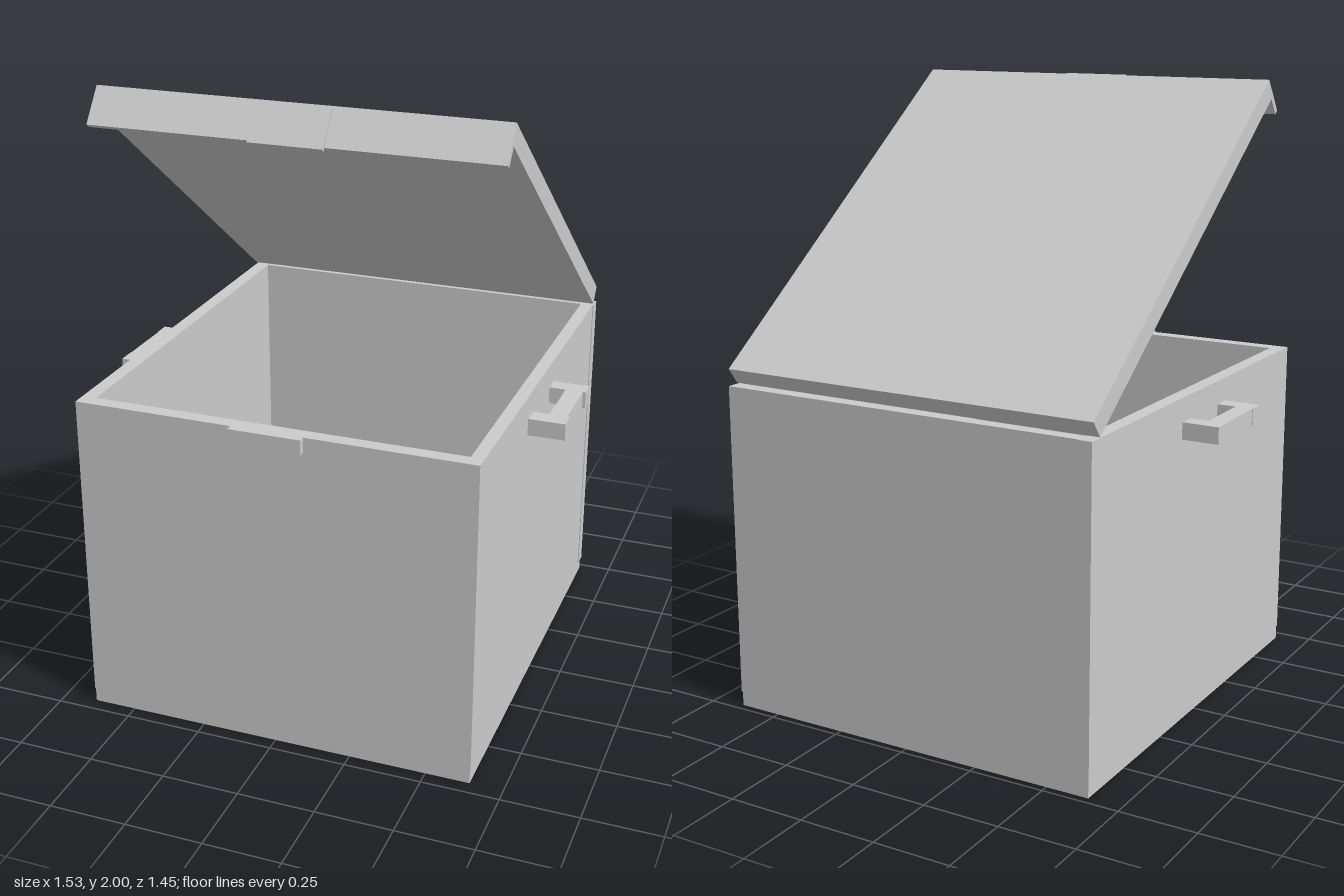
import * as THREE from 'three';

const material = new THREE.MeshStandardMaterial({ color: 0xcccccc, flatShading: true });

// Box given by its min and max extents on each axis
function block(parent, name, [x0, x1], [y0, y1], [z0, z1]) {
  const mesh = new THREE.Mesh(new THREE.BoxGeometry(x1 - x0, y1 - y0, z1 - z0), material);
  mesh.position.set((x0 + x1) / 2, (y0 + y1) / 2, (z0 + z1) / 2);
  mesh.name = name;
  parent.add(mesh);
  return mesh;
}

function group(parent, name) {
  const g = new THREE.Group();
  g.name = name;
  parent.add(g);
  return g;
}

export function createModel() {
  const model = new THREE.Group();
  model.name = 'openChest';

  // Hollow body: floor and four panels, slightly offset at the rear corners
  const body = group(model, 'body');
  const top = 1.075, floor = 0.047;
  block(body, 'floor', [-0.64, 0.643], [0, floor], [-0.725, 0.704]);
  block(body, 'frontWall', [-0.597, 0.603], [floor, top], [0.657, 0.704]);
  block(body, 'backWall', [-0.597, 0.648], [floor, top], [-0.725, -0.68]);
  block(body, 'leftWall', [0.603, 0.645], [floor, top], [-0.68, 0.704]);
  block(body, 'rightWall', [-0.643, -0.597], [floor, top], [-0.729, 0.704]);

  // Catch on the front rim
  block(body, 'frontCatch', [-0.125, 0.107], [1.027, top], [0.704, 0.726]);

  // Side handles: two posts and a grip
  for (const side of [1, -1]) {
    const handle = group(model, side > 0 ? 'leftHandle' : 'rightHandle');
    const span = (a, b) => [Math.min(side * a, side * b), Math.max(side * a, side * b)];
    const y = [0.943, 0.998];
    block(handle, 'rearPost', span(0.64, 0.764), y, [-0.143, -0.088]);
    block(handle, 'frontPost', span(0.64, 0.764), y, [0.118, 0.178]);
    const out = side > 0 ? 0.755 : 0.762;
    block(handle, 'grip', span(out - 0.057, out), y, [-0.088, 0.118]);
  }

  // Raised lid, built flat from its rear top edge and then tilted
  const lid = group(model, 'lid');
  lid.position.set(0, 1.13, -0.725);
  lid.rotation.x = -Math.atan2(0.87, 1.177);
  const lidX = [-0.646, 0.646];
  block(lid, 'lidPanel', lidX, [-0.064, 0], [0, 1.463]);
  block(lid, 'lidLip', lidX, [-0.128, -0.064], [1.445, 1.463]);
  block(lid, 'lidLatch', [-0.115, 0.115], [-0.143, -0.018], [1.472, 1.488]);

  return model;
}
